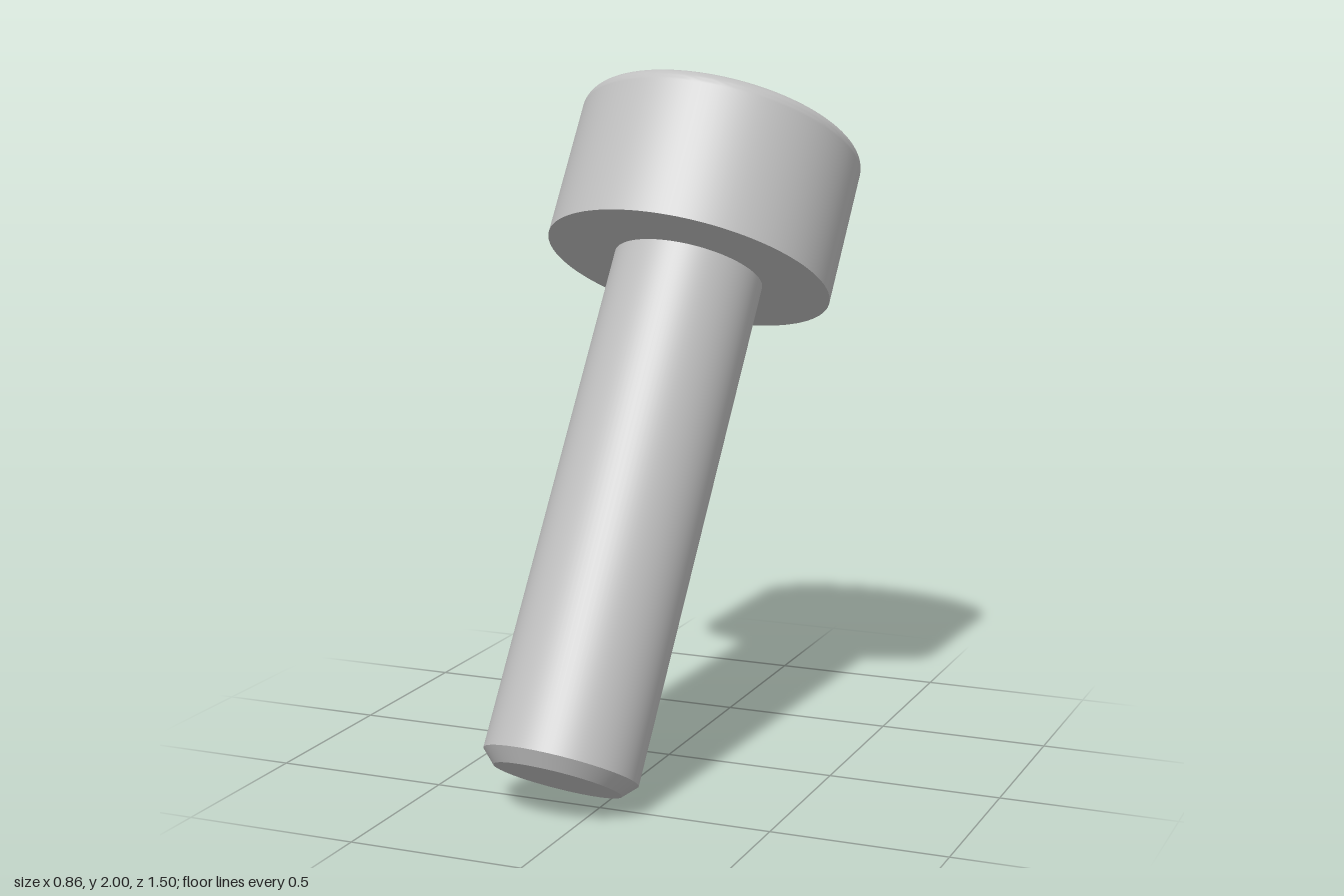
import * as THREE from 'three';
import { toCreasedNormals } from 'three/addons/utils/BufferGeometryUtils.js';

const SEGMENTS = 96;
const SHANK_R = 0.22, SHANK_LEN = 1.525, CHAMFER = 0.038;
const HEAD_R = 0.42, HEAD_H = 0.45, FILLET = 0.045;
const SOCKET_R = 0.22, SOCKET_DEPTH = 0.225;

const points = (list) => list.map(([r, y]) => new THREE.Vector2(r, y));

// Turned part: smooth round its axis, sharp at the corners of the profile
const turned = (profile) =>
  toCreasedNormals(new THREE.LatheGeometry(points(profile), SEGMENTS), 0.5);

export function createModel() {
  const steel = new THREE.MeshStandardMaterial({ color: 0xc0c0c0 });
  steel.name = 'steel';

  const model = new THREE.Group();
  model.name = 'socketHeadBolt';
  const add = (name, geometry, y = 0) => {
    const mesh = new THREE.Mesh(geometry, steel);
    mesh.name = name;
    mesh.position.y = y;
    bolt.add(mesh);
  };
  const bolt = new THREE.Group();
  bolt.name = 'tiltedBolt';
  model.add(bolt);

  // Shank with chamfered tip, tip at local y = 0
  add('shank', turned([
    [0, 0], [SHANK_R - CHAMFER, 0], [SHANK_R, CHAMFER], [SHANK_R, SHANK_LEN],
  ]));

  // Head: flat underside, straight wall, rounded upper rim
  const rim = [];
  for (let i = 0; i <= 10; i++) {
    const a = (i / 10) * Math.PI / 2;
    rim.push([
      HEAD_R - FILLET + FILLET * Math.cos(a),
      HEAD_H - FILLET + FILLET * Math.sin(a),
    ]);
  }
  add('head', turned([
    [SHANK_R, 0], [HEAD_R, 0], [HEAD_R, HEAD_H - FILLET - 0.003], ...rim,
  ]), SHANK_LEN);

  // Flat top of the head with a hexagonal opening
  const face = new THREE.Shape().absarc(0, 0, HEAD_R - FILLET, 0, Math.PI * 2);
  const hex = [];
  for (let i = 0; i < 6; i++) {
    const a = i * Math.PI / 3;
    hex.push(new THREE.Vector2(SOCKET_R * Math.cos(a), SOCKET_R * Math.sin(a)));
  }
  face.holes.push(new THREE.Path(hex));
  add('headTop', new THREE.ShapeGeometry(face, SEGMENTS).rotateX(-Math.PI / 2),
    SHANK_LEN + HEAD_H);

  // Hexagonal socket: walls facing inwards and a flat floor
  const socket = new THREE.LatheGeometry(
    points([[SOCKET_R, 0], [SOCKET_R, -SOCKET_DEPTH], [0, -SOCKET_DEPTH]]),
    6, Math.PI / 2).toNonIndexed();
  socket.computeVertexNormals();
  add('hexSocket', socket, SHANK_LEN + HEAD_H);

  // Lean the bolt: its axis tips backwards and slightly to the left
  const axis = new THREE.Vector3(0.0525, 0.868, -0.494).normalize();
  const side = new THREE.Vector3(0.996, -0.014, 0.081);
  side.addScaledVector(axis, -side.dot(axis)).normalize();
  const back = new THREE.Vector3().crossVectors(side, axis);
  bolt.quaternion.setFromRotationMatrix(
    new THREE.Matrix4().makeBasis(side, axis, back));
  bolt.position.set(-0.092, 0.091, 0.577);

  return model;
}
